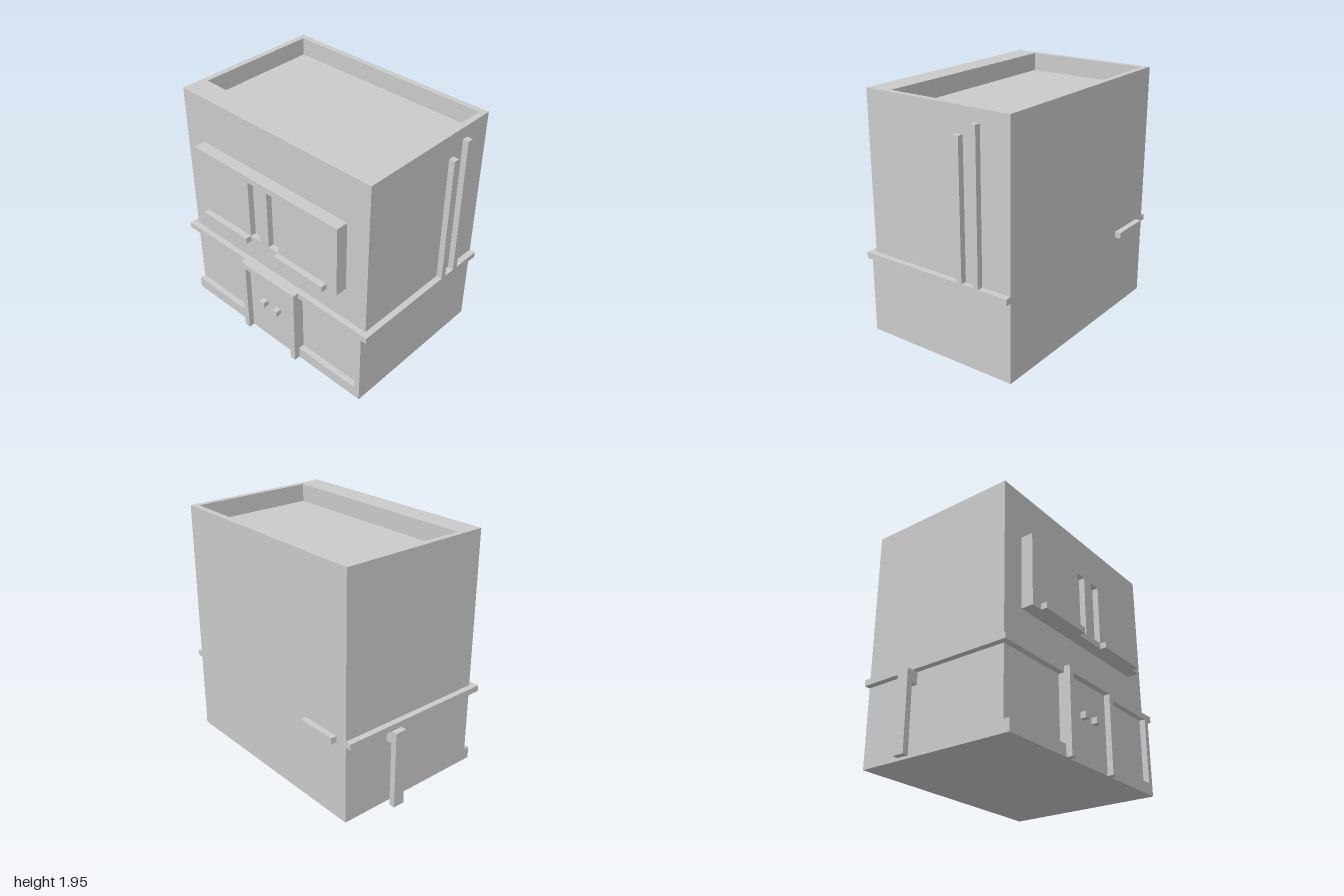
import * as THREE from 'three';

// The building sits on a regular grid, 41 cells across its longest side.
const U = 2 / 41;
const X0 = 20.5; // grid column of the centre line

export function createModel() {
  const group = new THREE.Group();
  const material = new THREE.MeshStandardMaterial({ color: 0xcccccc, flatShading: true });

  // Box spanning grid ranges in x (0..41), y (0..40) and z (-15..15).
  function block(name, [xa, xb], [ya, yb], [za, zb]) {
    const mesh = new THREE.Mesh(
      new THREE.BoxGeometry((xb - xa) * U, (yb - ya) * U, (zb - za) * U), material);
    mesh.position.set(((xa + xb) / 2 - X0) * U, ((ya + yb) / 2) * U, ((za + zb) / 2) * U);
    mesh.name = name;
    group.add(mesh);
    return mesh;
  }

  const rect = (PathType, a, b, c, d) => new PathType([
    new THREE.Vector2(a * U, c * U), new THREE.Vector2(b * U, c * U),
    new THREE.Vector2(b * U, d * U), new THREE.Vector2(a * U, d * U)]);

  // Rectangular plate with rectangular holes, extruded along its local z.
  function plate(name, outer, holes, depth) {
    const shape = rect(THREE.Shape, ...outer);
    shape.holes = holes.map((h) => rect(THREE.Path, ...h));
    const mesh = new THREE.Mesh(
      new THREE.ExtrudeGeometry(shape, { depth: depth * U, bevelEnabled: false }), material);
    mesh.name = name;
    group.add(mesh);
    return mesh;
  }

  // Main walls up to the sunken flat roof
  block('mainBody', [2, 40], [0, 37], [-14, 12]);

  // Parapet around the roof, deeper along the front (shape y points to -z)
  const parapet = plate('parapet', [2 - X0, 40 - X0, -12, 14], [[3 - X0, 39 - X0, -8, 13]], 3);
  parapet.rotation.x = -Math.PI / 2;
  parapet.position.y = 37 * U;

  // Ledge between the storeys
  block('ledge', [1, 41], [13, 14], [-14, 13]);

  // Shop front: skirting, corner post, door and its frame
  block('skirtingRight', [2, 15], [0, 2], [12, 13]);
  block('skirtingLeft', [27, 39], [0, 2], [12, 13]);
  block('cornerPost', [39, 40], [0, 13], [12, 13]);
  block('door', [16, 26], [0, 13], [12, 13]);
  for (const x of [15, 26]) block('doorPost', [x, x + 1], [0, 14], [12, 14]);
  block('doorLintel', [16, 26], [13, 14], [12, 14]);
  for (const x of [19, 22]) block('doorKnob', [x, x + 1], [7, 8], [13, 14]);

  // Upper window bay with two upright recesses and two sills
  block('windowBayBack', [6, 36], [20, 32], [12, 13]);
  const bay = plate('windowBayFront', [6 - X0, 36 - X0, 20, 32],
    [18, 22].map((x) => [x - X0, x + 2 - X0, 21, 31]), 1);
  bay.position.z = 13 * U;
  for (const x of [8, 24]) block('windowSill', [x, x + 10], [20, 21], [14, 15]);

  // Two wall pipes on the left side, standing on the ledge
  block('shortPipe', [40, 41], [14, 36], [-6, -5]);
  block('tallPipe', [40, 41], [14, 38], [-9, -8]);

  // Drain pipe on the right side, held off the wall by its top
  block('drainPipe', [0, 1], [0, 13], [-6, -4]);
  block('drainPipeElbow', [1, 2], [11, 13], [-6, -4]);

  // Small shelf on the back wall
  block('backShelf', [4, 11], [13, 14], [-15, -14]);

  return group;
}
